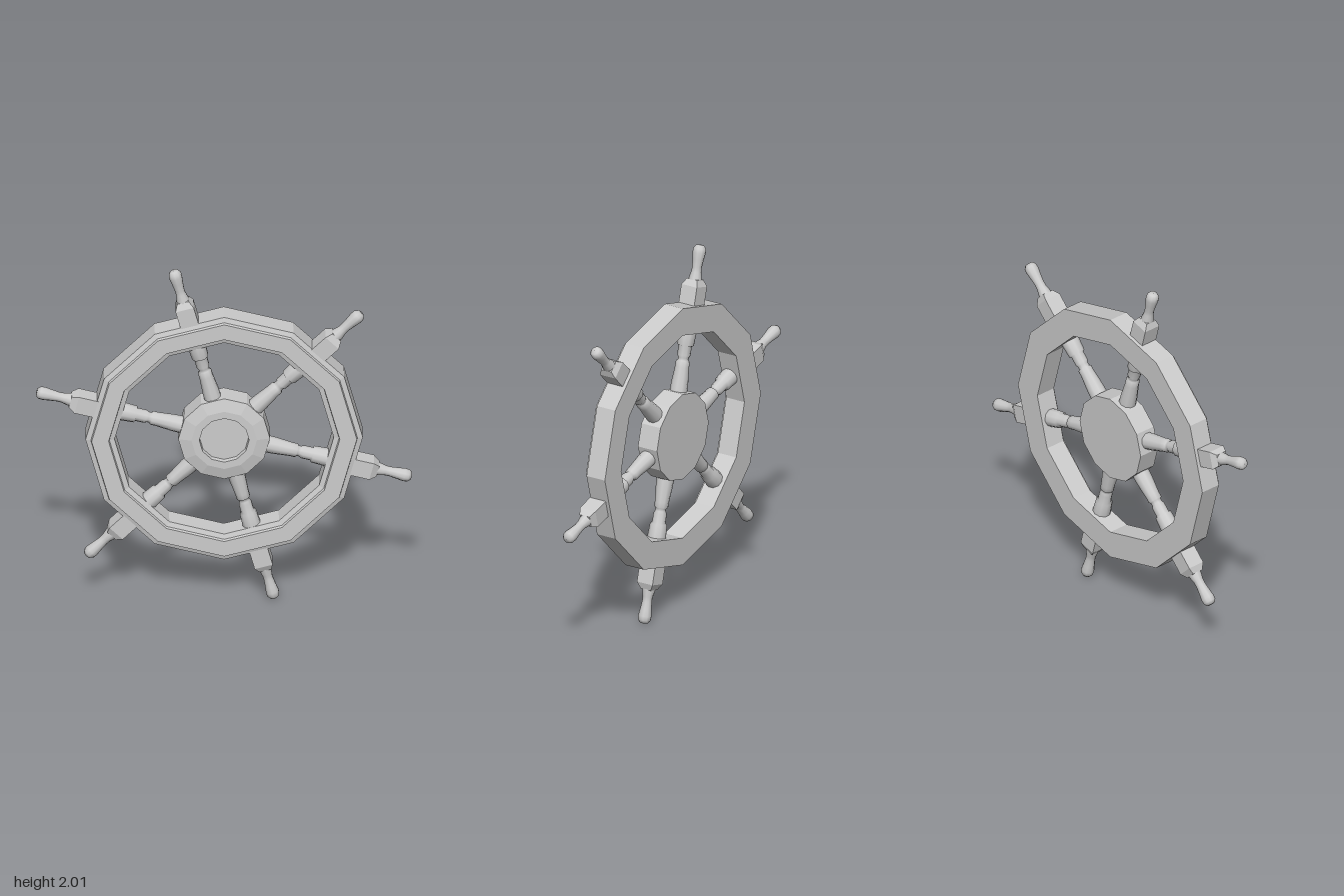
import * as THREE from 'three';

const material = new THREE.MeshStandardMaterial({ color: 0xcccccc });

// Revolve a list of [radius, height] pairs; flat gives hard facets.
function turned(name, profile, sides, flat) {
  const points = profile.map(([r, h]) => new THREE.Vector2(r, h));
  let geometry = new THREE.LatheGeometry(points, sides);
  if (flat) {
    geometry = geometry.toNonIndexed();
    geometry.computeVertexNormals();
  }
  const mesh = new THREE.Mesh(geometry, material);
  mesh.name = name;
  return mesh;
}

// One spoke pointing up +y: turned shaft, square block through the rim, handle.
function makeSpoke() {
  const spoke = new THREE.Group();
  spoke.name = 'spoke';

  const shaft = turned('spokeShaft', [
    [0.048, 0.2], [0.046, 0.28], [0.038, 0.37], [0.038, 0.4],
    [0.029, 0.405], [0.029, 0.42], [0.036, 0.435], [0.036, 0.485],
    [0.046, 0.49], [0.05, 0.56], [0.05, 0.62],
  ], 10, false);

  const d = Math.SQRT2;
  const block = turned('spokeBlock', [
    [0, 0.62], [0.05 * d, 0.62], [0.05 * d, 0.815], [0.032 * d, 0.85], [0, 0.85],
  ], 4, true);
  block.rotation.y = Math.PI / 4;

  const handle = turned('handle', [
    [0.038, 0.82], [0.034, 0.86], [0.027, 0.89], [0.026, 0.915], [0.031, 0.96],
    [0.036, 0.995], [0.034, 1.018], [0.022, 1.034], [0, 1.036],
  ], 10, false);

  spoke.add(shaft, block, handle);
  return spoke;
}

export function createModel() {
  const wheel = new THREE.Group();
  wheel.name = 'shipWheel';

  // Twelve-sided rim with a raised front moulding and a flat back
  const rim = turned('rim', [
    [0.585, -0.07], [0.74, -0.07], [0.74, 0.048], [0.712, 0.056], [0.708, 0.073],
    [0.617, 0.073], [0.613, 0.056], [0.585, 0.048], [0.585, -0.07],
  ], 12, true);

  // Hub with bevelled front and recessed centre disc
  const hub = turned('hub', [
    [0, -0.07], [0.245, -0.07], [0.245, 0.053], [0.175, 0.07],
    [0.133, 0.07], [0.13, 0.045], [0, 0.045],
  ], 12, true);

  for (const part of [rim, hub]) {
    part.rotation.x = Math.PI / 2;
    part.position.y = 1;
    wheel.add(part);
  }

  // Six spokes, each crossing the middle of a rim side
  for (let i = 0; i < 6; i++) {
    const spoke = makeSpoke();
    spoke.position.y = 1;
    spoke.rotation.z = Math.PI / 12 + (i * Math.PI) / 3;
    wheel.add(spoke);
  }
  return wheel;
}
